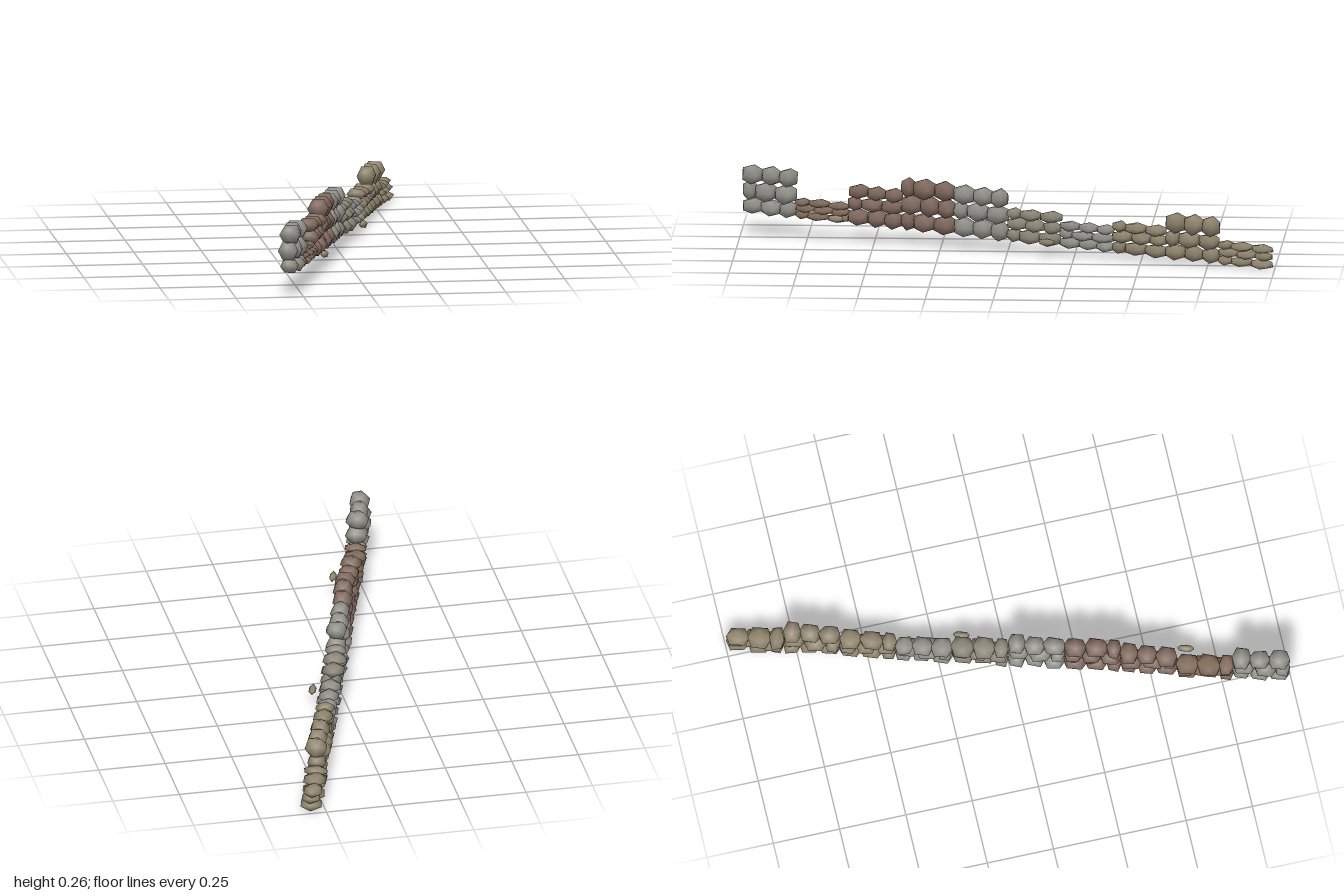
import * as THREE from 'three';
import { mergeVertices } from 'three/addons/utils/BufferGeometryUtils.js';

let seed = 11;
const rand = () => (seed = (seed * 16807) % 2147483647) / 2147483647;
const vary = (amount) => (rand() * 2 - 1) * amount;

// One rough, softly shaded boulder with the given half sizes
function stoneGeometry(hx, hy, hz) {
  let geo = new THREE.IcosahedronGeometry(1 / 0.85, 0);
  geo.deleteAttribute('normal');
  geo.deleteAttribute('uv');
  geo = mergeVertices(geo, 1e-3);
  const turn = Math.floor(rand() * 2);
  const p = geo.attributes.position;
  for (let i = 0; i < p.count; i++) {
    const v = [p.getX(i), p.getY(i), p.getZ(i)];
    // Cycle the axes so neighbouring stones show different facets
    const [x, y, z] = turn ? [v[1], v[2], v[0]] : v;
    p.setXYZ(i, hx * (x + vary(0.1)), hy * (y + vary(0.07)), hz * (z + vary(0.07)));
  }
  geo.computeVertexNormals();
  return geo;
}

function addStone(parent, name, color, size, position) {
  const material = new THREE.MeshStandardMaterial({ color });
  material.color.offsetHSL(0, 0, vary(0.012));
  const stone = new THREE.Mesh(stoneGeometry(...size), material);
  stone.name = name;
  stone.position.set(...position);
  parent.add(stone);
  return stone;
}

const GREY = 0x94928b, TAN = 0x91866f, BROWN = 0x86705f, RUST = 0x846c61, PALE = 0x8f897b;

// Wall sections from the high end to the low end: colour and course heights
const SECTIONS = [
  [GREY, [0.05, 0.063, 0.061]],
  [BROWN, [0.026, 0.022, 0.022]],
  [RUST, [0.054, 0.045, 0.044]],
  [RUST, [0.062, 0.062, 0.066]],
  [GREY, [0.063, 0.06, 0.06]],
  [PALE, [0.045, 0.04, 0.034]],
  [GREY, [0.033, 0.03, 0.03]],
  [TAN, [0.042, 0.038, 0.034]],
  [TAN, [0.05, 0.052, 0.066]],
  [TAN, [0.03, 0.027, 0.026]],
];
// Joints along a section, staggered from course to course
const JOINTS = [[0, 0.36, 0.7, 1], [0, 0.24, 0.62, 1]];
const YAW = -0.3;
const groundAt = (z) => 0.048 + 0.043 * z;

export function createModel() {
  const model = new THREE.Group();
  model.name = 'ruinedStoneWall';

  const wall = new THREE.Group();
  wall.name = 'wall';
  wall.rotation.y = YAW;
  model.add(wall);

  // Dry stone courses, section by section down the slope
  const cos = Math.cos(YAW);
  SECTIONS.forEach(([color, courses], s) => {
    const section = new THREE.Group();
    section.name = `wallSection${s + 1}`;
    wall.add(section);
    let bottom = 0;
    courses.forEach((height, row) => {
      const joints = JOINTS[(s + row) % 2];
      for (let i = 0; i < 3; i++) {
        const z = 0.99 - 0.198 * (s + (joints[i] + joints[i + 1]) / 2);
        const length = (0.198 * (joints[i + 1] - joints[i])) / cos;
        const y = groundAt(z) + bottom + height / 2;
        addStone(section, 'wallStone', color,
          [0.037 + vary(0.004), height * 0.55, length * 0.54],
          [vary(0.004), y, z / cos]);
      }
      bottom += height;
    });
  });

  // Two small stones fallen beside the wall
  for (const [x, y, z] of [[0.12, 0.063, -0.15], [-0.125, 0.099, 0.64]]) {
    addStone(model, 'fallenStone', TAN, [0.013, 0.013, 0.03], [x, y, z]).rotation.y = YAW;
  }
  return model;
}
